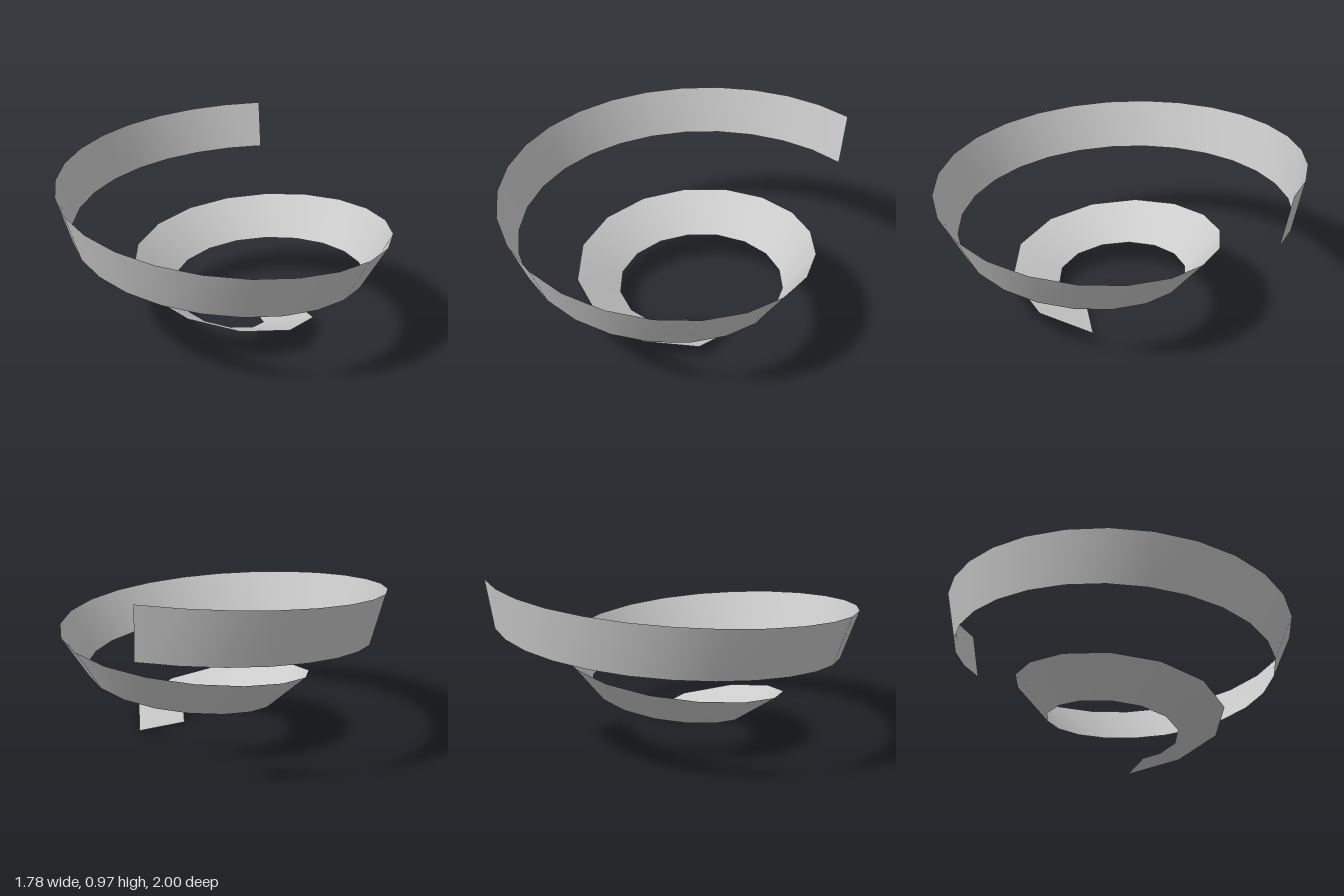
import * as THREE from 'three';

// A ribbon climbing along an Archimedean spiral, rolling from flat to nearly upright.
const STEPS = 36;
const CENTER = new THREE.Vector2(0.1005, 0.0965); // spiral axis (x, z)
const R0 = 0.24, R1 = 1.128;                      // midline radius, start and end
const A0 = THREE.MathUtils.degToRad(15.2);        // start angle, from +x towards +z
const SWEEP = THREE.MathUtils.degToRad(655.3);
const GROW = (R1 - R0) / SWEEP;                   // radius gained per radian
const RISE = 0.0722;                              // height gained per radian
const HALF = 0.1438;                              // half the ribbon width

// Arc length of the flat spiral from the start to a swept angle
const arc = (a) => {
  const r = R0 + GROW * a;
  return (r * r - R0 * R0) / (2 * GROW) + (GROW / 2) * Math.log(r / R0);
};

// Swept angle at a given arc length, by bisection
function angleAt(s) {
  let lo = 0, hi = SWEEP;
  for (let i = 0; i < 40; i++) {
    const mid = (lo + hi) / 2;
    if (arc(mid) < s) lo = mid; else hi = mid;
  }
  return lo;
}

function ribbonGeometry() {
  const positions = [], index = [];
  const total = arc(SWEEP), lead = 0.0125; // the first step is slightly shorter
  for (let i = 0; i <= STEPS; i++) {
    const a = i === 0 ? 0 : angleAt((i * (total + lead)) / STEPS - lead);
    const r = R0 + GROW * a, t = A0 + a, c = Math.cos(t), s = Math.sin(t);
    const mid = new THREE.Vector3(CENTER.x + r * c, 0.0025 + RISE * a, CENTER.y + r * s);
    const tangent = new THREE.Vector3(GROW * c - r * s, RISE, GROW * s + r * c).normalize();
    const out = new THREE.Vector3(tangent.z, 0, -tangent.x).normalize();
    const up = new THREE.Vector3().crossVectors(out, tangent).normalize();
    if (up.y < 0) up.negate();
    // Roll about the path
    const roll = THREE.MathUtils.degToRad(-1 + 53 * Math.log(r / R0));
    const across = out.multiplyScalar(Math.cos(roll)).addScaledVector(up, Math.sin(roll));
    for (const side of [-HALF, HALF]) {
      positions.push(...mid.clone().addScaledVector(across, side).toArray());
    }
    if (i < STEPS) {
      const k = 2 * i;
      index.push(k, k + 2, k + 1, k + 1, k + 2, k + 3);
    }
  }
  const geometry = new THREE.BufferGeometry();
  geometry.setAttribute('position', new THREE.Float32BufferAttribute(positions, 3));
  geometry.setIndex(index);
  geometry.computeVertexNormals();
  return geometry;
}

export function createModel() {
  const grey = new THREE.MeshStandardMaterial({ color: 0xcccccc, side: THREE.DoubleSide });
  grey.name = 'light grey';
  const ribbon = new THREE.Mesh(ribbonGeometry(), grey);
  ribbon.name = 'spiralRibbon';
  const model = new THREE.Group();
  model.name = 'spiralRamp';
  model.add(ribbon);
  return model;
}
